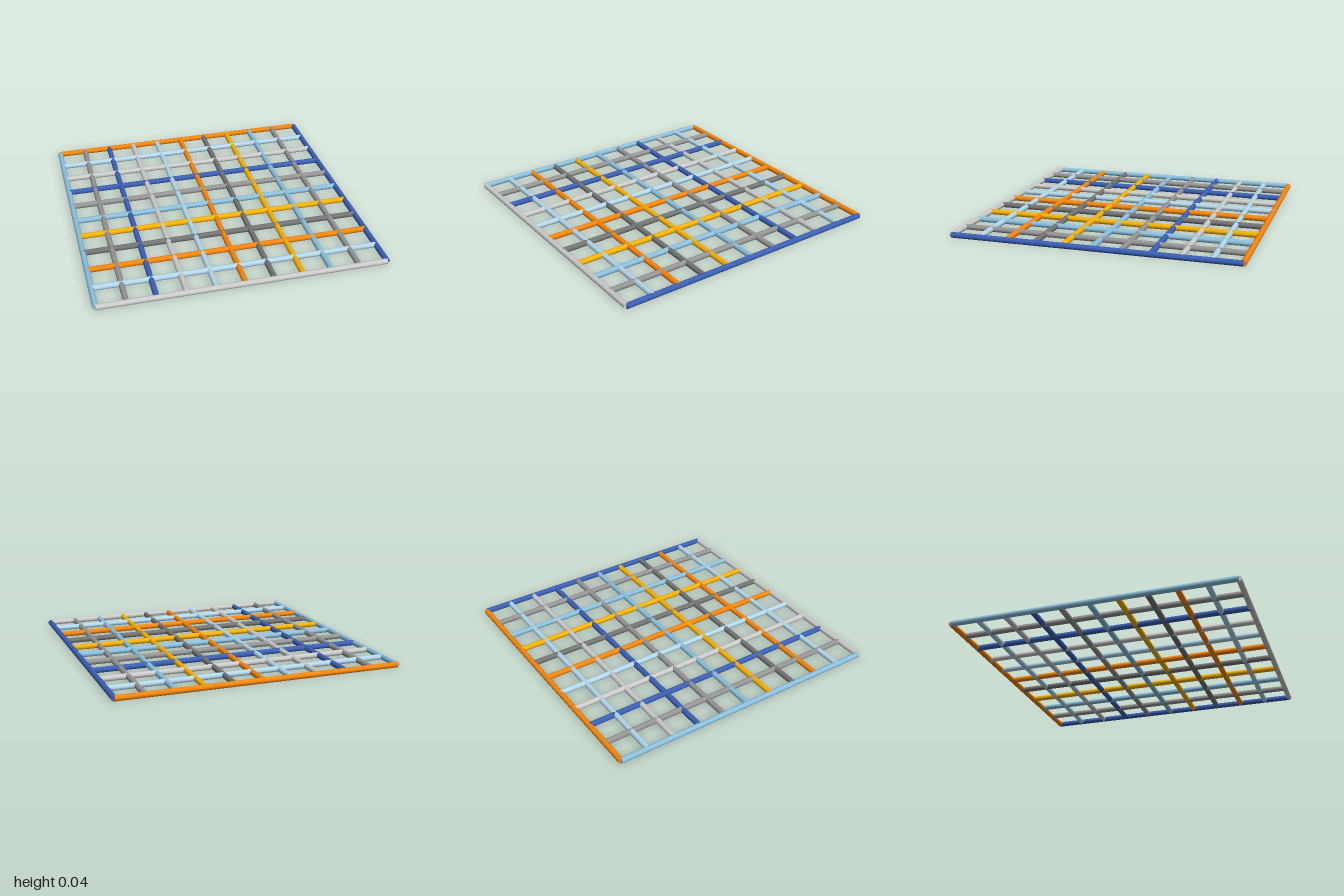
import * as THREE from 'three';

const SPACING = 0.196;
const RADIUS = 0.0196;
const HALF = 5; // bars on each side of the centre line

// Colours repeat along the grid: orange, pale blue, light grey, blue, grey, sky, yellow, dark grey
const PALETTE = [0xf5860f, 0xb4d8ec, 0xcccccc, 0x3b60b4, 0x959595, 0x8cc0de, 0xf5b20a, 0x747474];

export function createModel() {
  const model = new THREE.Group();
  model.name = 'grid';

  const barGeometry = new THREE.CylinderGeometry(RADIUS, RADIUS, SPACING * HALF * 2, 12);
  const materials = PALETTE.map((color) => new THREE.MeshStandardMaterial({ color }));

  const addBar = (name, colorIndex) => {
    const bar = new THREE.Mesh(barGeometry, materials[colorIndex % PALETTE.length]);
    bar.name = name;
    bar.position.y = RADIUS;
    model.add(bar);
    return bar;
  };

  for (let i = 0; i <= HALF * 2; i++) {
    const offset = (i - HALF) * SPACING;

    // Crosswise bar, running left to right, counted from the back
    const cross = addBar(`crossBar${i + 1}`, i);
    cross.rotation.z = Math.PI / 2;
    cross.position.z = offset;

    // Lengthwise bar, running back to front, colours in reverse order
    const length = addBar(`lengthBar${i + 1}`, 13 - i);
    length.rotation.x = Math.PI / 2;
    length.position.x = offset;
  }
  return model;
}
